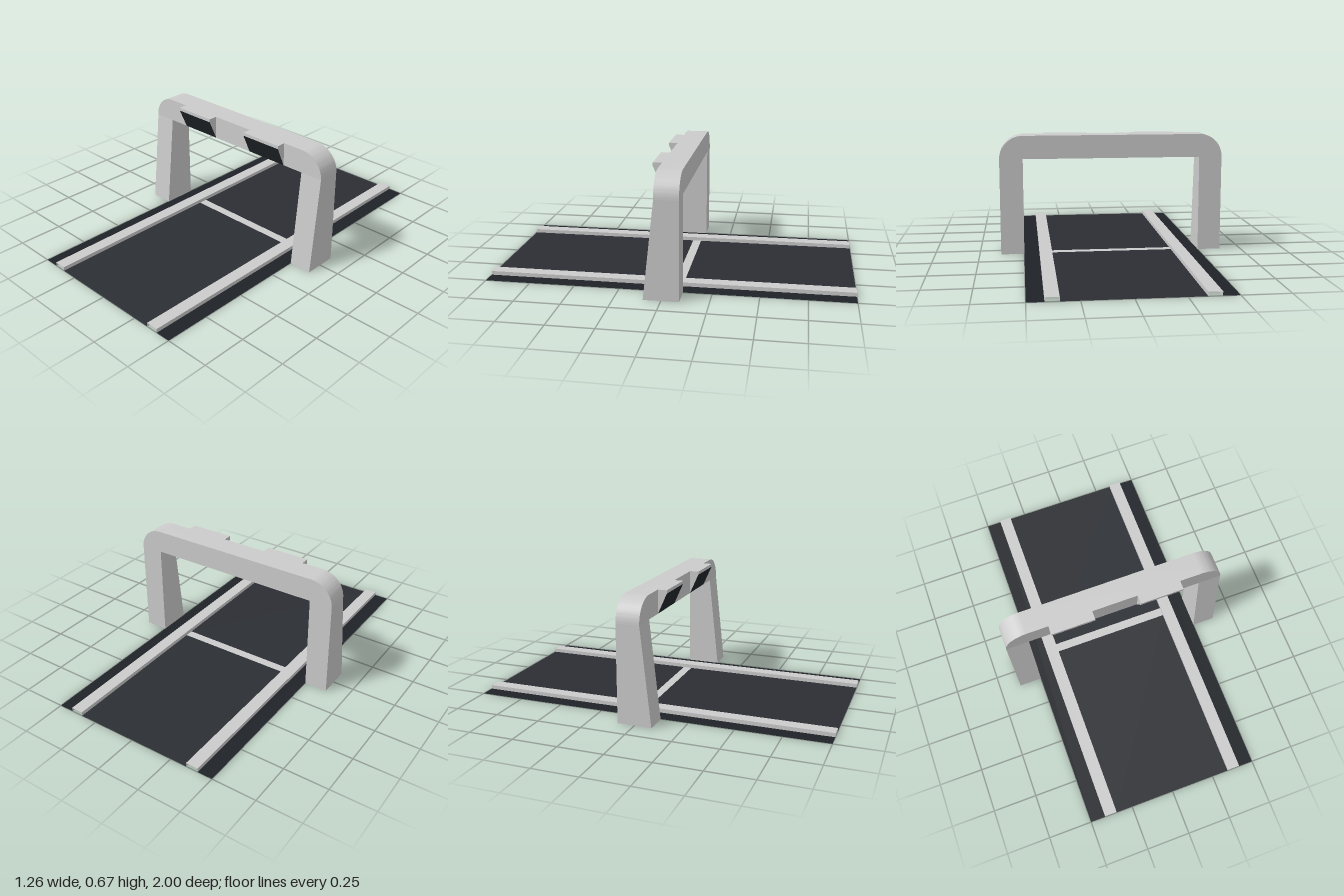
import * as THREE from 'three';
import { toCreasedNormals } from 'three/addons/utils/BufferGeometryUtils.js';

const mat = (color) => new THREE.MeshStandardMaterial({ color, side: THREE.DoubleSide });
const grey = mat(0xcccccc);
const roadDark = mat(0x2b2e33);
const edgeDark = mat(0x1f2327);
const panelDark = mat(0x22262a);

const INNER = 0.5, OUTER = 0.63, BEAM_Y = 0.54, TOP_Y = 0.67;
const BACK = -0.095, FRONT = 0.035, FOOT = 0.095;

function add(parent, name, geometry, material) {
  const mesh = new THREE.Mesh(geometry, material);
  mesh.name = name;
  parent.add(mesh);
  return mesh;
}

// Flat rectangle lying on the ground
function strip(parent, name, x0, x1, z0, z1, y, material) {
  const g = new THREE.PlaneGeometry(x1 - x0, z1 - z0).rotateX(-Math.PI / 2);
  g.translate((x0 + x1) / 2, y, (z0 + z1) / 2);
  return add(parent, name, g, material);
}

// Box from corner to corner; faces listed by side: 0 +x, 1 -x, 2 +y, 3 -y, 4 +z, 5 -z
function block(x0, x1, y0, y1, z0, z1, drop = []) {
  const g = new THREE.BoxGeometry(x1 - x0, y1 - y0, z1 - z0);
  g.translate((x0 + x1) / 2, (y0 + y1) / 2, (z0 + z1) / 2);
  if (drop.length) {
    g.setIndex(Array.from(g.index.array).filter((_, i) => !drop.includes(Math.floor(i / 6))));
    g.clearGroups();
  }
  return g;
}

// Move every vertex by a rule, then refresh the normals
function reshape(g, rule) {
  const p = g.attributes.position, v = new THREE.Vector3();
  for (let i = 0; i < p.count; i++) {
    rule(v.fromBufferAttribute(p, i));
    p.setXYZ(i, v.x, v.y, v.z);
  }
  g.computeVertexNormals();
  return g;
}

// Beam with rounded outer corners, left open where it meets the hollow legs
function beamGeometry() {
  const r = TOP_Y - BEAM_Y;
  const s = new THREE.Shape();
  s.moveTo(-OUTER, BEAM_Y);
  s.lineTo(-INNER, BEAM_Y);
  s.lineTo(INNER, BEAM_Y);
  s.lineTo(OUTER, BEAM_Y);
  s.absarc(OUTER - r, BEAM_Y, r, 0, Math.PI / 2, false);
  s.absarc(r - OUTER, BEAM_Y, r, Math.PI / 2, Math.PI, false);
  const g = new THREE.ExtrudeGeometry(s, { depth: FRONT - BACK, bevelEnabled: false, curveSegments: 12 });
  g.translate(0, 0, BACK);
  const src = g.attributes.position.array, kept = [];
  for (let i = 0; i < src.length; i += 9) {
    const low = [1, 4, 7].every((k) => Math.abs(src[i + k] - BEAM_Y) < 1e-4);
    const overLeg = Math.abs(src[i] + src[i + 3] + src[i + 6]) / 3 > INNER;
    if (!(low && overLeg)) kept.push(...src.slice(i, i + 9));
  }
  const open = new THREE.BufferGeometry();
  open.setAttribute('position', new THREE.Float32BufferAttribute(kept, 3));
  return toCreasedNormals(open, 0.6);
}

export function createModel() {
  const model = new THREE.Group();
  model.name = 'trackGate';

  // Track: two road panels split by a start line
  const track = new THREE.Group();
  track.name = 'track';
  model.add(track);
  const lineBack = -0.08, lineFront = -0.03, road = 0.345, rail = 0.415;
  strip(track, 'roadFront', -road, road, lineFront, 1, 0, roadDark);
  strip(track, 'roadBack', -road, road, -1, lineBack, 0, roadDark);
  strip(track, 'startLine', -road, road, lineBack, lineFront, 0, grey);

  // Arch
  const arch = new THREE.Group();
  arch.name = 'arch';
  model.add(arch);
  add(arch, 'beam', beamGeometry(), grey);

  for (const [side, s] of [['left', 1], ['right', -1]]) {
    const span = (a, b) => (s > 0 ? [a, b] : [-b, -a]);

    // Raised rail, open below and at its ends, and the dark outer edge
    add(track, side + 'Rail', block(...span(road, rail), 0, 0.022, -1, 1, [3, 4, 5]), grey);
    strip(track, side + 'Edge', ...span(rail, INNER), -1, 1, 0, edgeDark);

    // Hollow leg with a front that slopes out to the foot
    const leg = block(...span(INNER, OUTER), 0, BEAM_Y, BACK, FRONT, [2, 3]);
    reshape(leg, (v) => { if (v.z > 0 && v.y < 0.1) v.z = FOOT; });
    add(arch, side + 'Leg', leg, grey);

    // Overhanging display: the underside leans forward as a dark screen
    const display = block(...span(0.13, 0.377), BEAM_Y, TOP_Y, FRONT, 0.085);
    reshape(display, (v) => { if (v.z > 0.06 && v.y < 0.6) v.y = 0.652; });
    add(arch, side + 'Display', display, [grey, grey, grey, panelDark, grey, grey]);
  }
  return model;
}
